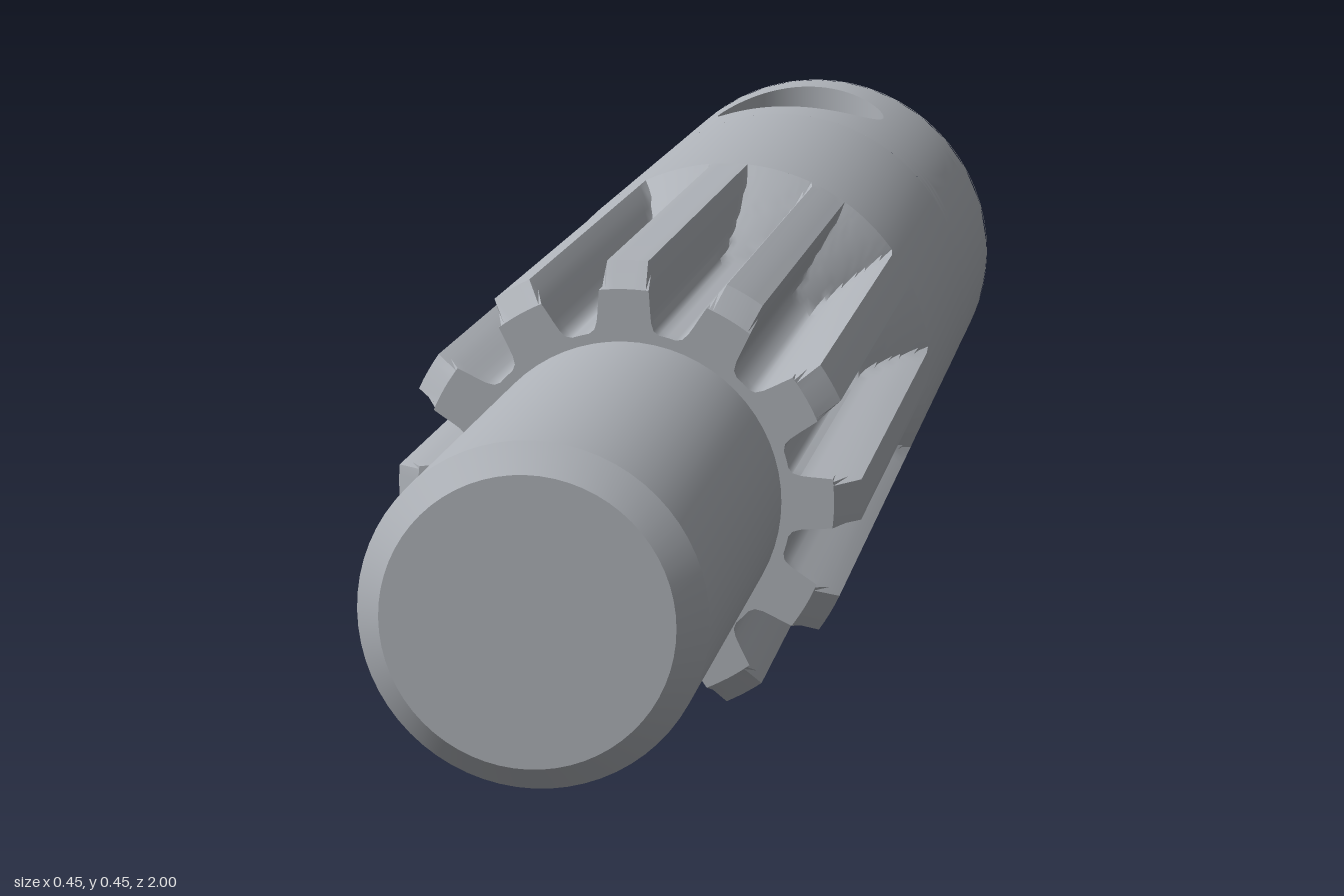
import * as THREE from 'three';
import { toCreasedNormals } from 'three/addons/utils/BufferGeometryUtils.js';

const R = 0.224;        // body and tooth tip radius
const HOLE_R = 0.105;   // cross hole
const HOLE_Z = -0.8;
const TEETH = 12;

// Surface from fn(u, v) -> [x, y, z]; the front side is u cross v
function grid(nu, nv, fn) {
  const pos = [], index = [];
  for (let j = 0; j <= nv; j++) for (let i = 0; i <= nu; i++) pos.push(...fn(i, j));
  for (let j = 0; j < nv; j++) for (let i = 0; i < nu; i++) {
    const a = j * (nu + 1) + i, c = a + nu + 1;
    index.push(a, a + 1, c, a + 1, c + 1, c);
  }
  const g = new THREE.BufferGeometry();
  g.setAttribute('position', new THREE.Float32BufferAttribute(pos, 3));
  g.setIndex(index);
  g.computeVertexNormals();
  return g;
}

// Turned part along z from [radius, z] points
function turned(points) {
  const g = new THREE.LatheGeometry(points.map(([r, z]) => new THREE.Vector2(r, z)), 64);
  return toCreasedNormals(g.rotateX(Math.PI / 2), 0.5);
}

// Half of the body wall, with the cross hole opening in its middle
function holedWall() {
  const g = grid(64, 14, (i, j) => {
    const t = i / 64 * Math.PI * 2, c = Math.cos(t), s = Math.sin(t);
    const m = Math.max(Math.abs(c), Math.abs(s)), k = j / 14;
    const angle = THREE.MathUtils.lerp(Math.asin(HOLE_R * c / R), c / m * Math.PI / 2, k);
    const z = HOLE_Z + THREE.MathUtils.lerp(HOLE_R * s, 0.18 * s / m, k);
    return [R * Math.sin(angle), R * Math.cos(angle), z];
  });
  const p = g.attributes.position;
  for (let i = 0; i < p.count; i++) g.attributes.normal.setXYZ(i, p.getX(i) / R, p.getY(i) / R, 0);
  return g;
}

function holeBore() {
  return grid(64, 1, (i, j) => {
    const t = i / 64 * Math.PI * 2, x = HOLE_R * Math.cos(t);
    return [x, (j * 2 - 1) * Math.sqrt(R * R - x * x), HOLE_Z + HOLE_R * Math.sin(t)];
  });
}

// Toothed section: the grooves run out to the body along a cutter arc
function toothedSection() {
  // Half a groove and half a tooth: [degrees from groove centre, radius]
  const half = [[0, 0.16], [3, 0.16], [5, 0.163], [6.2, 0.17], [7, 0.18], [7.6, 0.19],
    [8.2, 0.2], [9, 0.212], [10, R], [12.5, R], [15, R]];
  const pitch = [...half.slice(1).reverse().map(([a, r]) => [-a, r]), ...half.slice(0, -1)];
  const profile = [];
  for (let k = 0; k < TEETH; k++) for (const [a, r] of pitch) {
    profile.push([THREE.MathUtils.degToRad(a + 15 + k * 360 / TEETH), r]);
  }
  profile.push([profile[0][0] + Math.PI * 2, profile[0][1]]);

  const rings = [];   // z, groove floor radius, tip radius
  for (let i = 0; i <= 14; i++) {
    const k = i / 14;
    rings.push([-0.175 + 0.285 * k, 0.16 + (R - 0.16) * (1 - k) ** 2, R]);
  }
  rings.push([0.497, 0, R], [0.52, 0, 0.2], [0.52, 0, 0]);
  const g = grid(profile.length - 1, rings.length - 1, (i, j) => {
    const [z, floor, tip] = rings[j], [a, r0] = profile[i];
    const r = Math.min(Math.max(r0, floor), tip);
    return [r * Math.cos(a), r * Math.sin(a), z];
  });
  return toCreasedNormals(g, 0.6);
}

export function createModel() {
  const steel = new THREE.MeshStandardMaterial({ color: 0xaeb2b8 });
  steel.name = 'steel grey';
  const model = new THREE.Group();
  model.name = 'pinionShaft';
  const add = (name, geometry) => {
    const mesh = new THREE.Mesh(geometry, steel);
    mesh.name = name;
    mesh.position.y = R;
    model.add(mesh);
    return mesh;
  };

  // Front journal with chamfered end
  add('frontJournal', turned([[0.15, 0.5], [0.15, 0.975], [0.126, 1], [0, 1]]));

  add('toothedSection', toothedSection());

  // Body: plain length, drilled length and rounded back end with centre hole
  add('bodyMiddle', turned([[R, -0.62], [R, -0.175]]));
  add('bodyUpperWall', holedWall());
  add('bodyLowerWall', holedWall()).rotation.z = Math.PI;
  add('crossHole', holeBore());
  add('backEnd', turned([[0, -0.925], [0.041, -0.945], [0.041, -1], [0.209, -1],
    [0.2165, -0.998], [0.222, -0.9925], [R, -0.985], [R, -0.98]]));

  return model;
}
